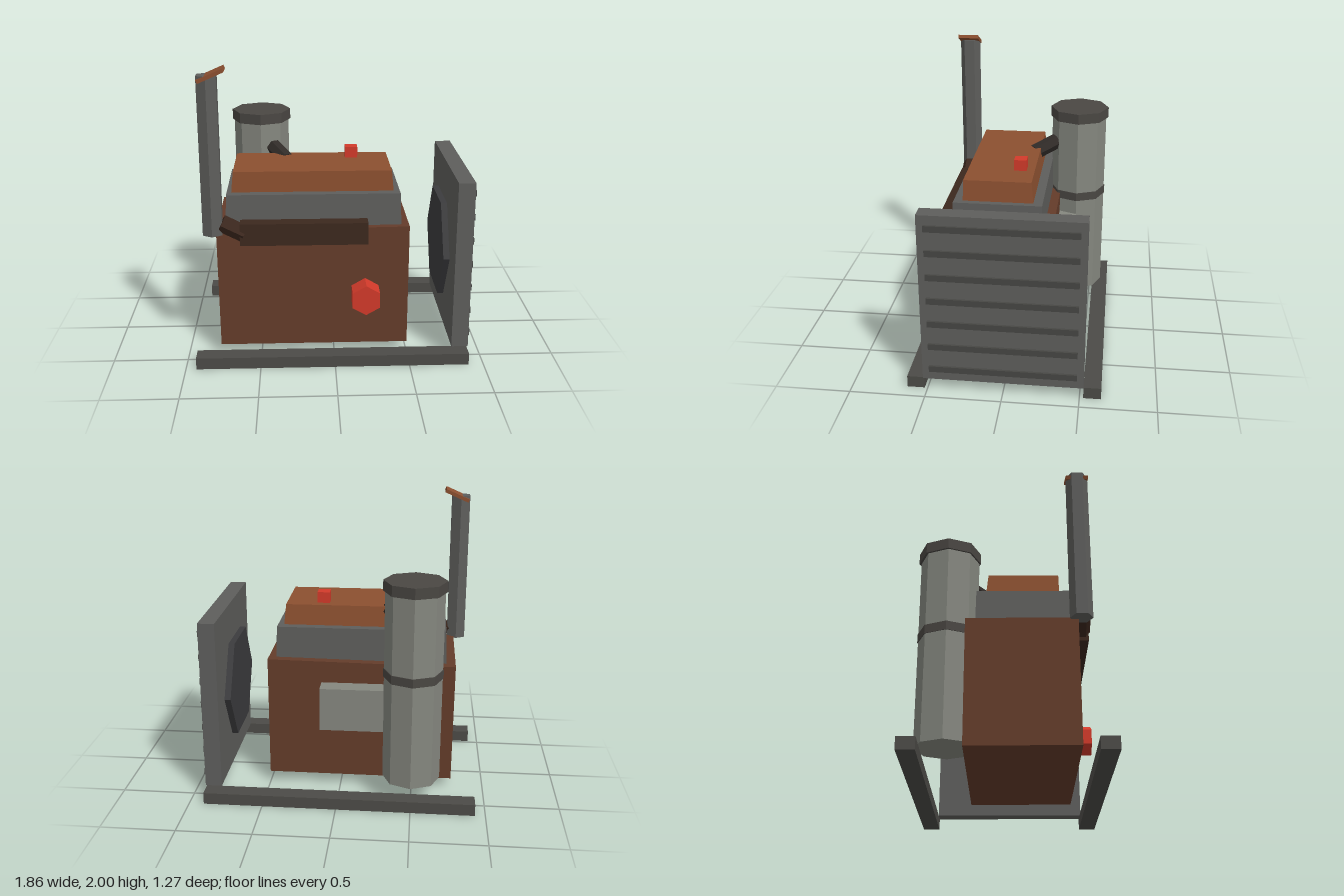
import * as THREE from 'three';

const paint = (color) => new THREE.MeshStandardMaterial({ color, flatShading: true });
const MAT = {
  rust: paint(0x643c2a), cover: paint(0x8c5030), steel: paint(0x5e5e5c), skid: paint(0x4c4b47),
  slat: paint(0x474744), fan: paint(0x3c3c3e), tank: paint(0x85877f), band: paint(0x4a4743),
  manifold: paint(0x3c281e), hose: paint(0x302b28), red: paint(0xd23a2a),
};

export function createModel() {
  const model = new THREE.Group();
  const add = (name, geometry, material) => {
    const mesh = new THREE.Mesh(geometry, material);
    mesh.name = name;
    model.add(mesh);
    return mesh;
  };

  // box given by its extents on each axis
  const box = (name, mat, [x0, x1], [y0, y1], [z0, z1]) => {
    const mesh = add(name, new THREE.BoxGeometry(x1 - x0, y1 - y0, z1 - z0), mat);
    mesh.position.set((x0 + x1) / 2, (y0 + y1) / 2, (z0 + z1) / 2);
    return mesh;
  };

  // hand-cut block: bottom and top rectangles [x0, x1, z0, z1], top sloping from yLeft to yRight
  const block = (name, mat, bottom, top, y0, yLeft, yRight = yLeft) => {
    const g = new THREE.BoxGeometry(1, 1, 1);
    const p = g.attributes.position;
    for (let i = 0; i < p.count; i++) {
      const up = p.getY(i) > 0, right = p.getX(i) > 0, front = p.getZ(i) > 0;
      const r = up ? top : bottom;
      p.setXYZ(i, r[right ? 1 : 0], up ? (right ? yRight : yLeft) : y0, r[front ? 3 : 2]);
    }
    g.computeVertexNormals();
    return add(name, g, mat);
  };

  // faceted rod between two points
  const rod = (name, mat, from, to, radius, sides) => {
    const a = new THREE.Vector3(...from), b = new THREE.Vector3(...to);
    const dir = b.clone().sub(a);
    const mesh = add(name, new THREE.CylinderGeometry(radius, radius, dir.length(), sides), mat);
    mesh.position.copy(a).add(b).multiplyScalar(0.5);
    mesh.quaternion.setFromUnitVectors(new THREE.Vector3(0, 1, 0), dir.normalize());
    return mesh;
  };

  // base rails
  box('frontRail', MAT.skid, [-0.93, 0.9], [0, 0.08], [0.52, 0.635]);
  box('backRail', MAT.skid, [-0.93, 0.9], [0, 0.08], [-0.64, -0.525]);

  // engine body in three steps
  block('engineBlock', MAT.rust, [-0.775, 0.5, -0.27, 0.435], [-0.78, 0.5, -0.27, 0.435], 0.078, 0.91, 0.925);
  block('cylinderHead', MAT.steel, [-0.72, 0.45, -0.21, 0.39], [-0.71, 0.44, -0.205, 0.385], 0.9, 1.14);
  block('valveCover', MAT.cover, [-0.68, 0.4, -0.145, 0.325], [-0.665, 0.385, -0.13, 0.322], 1.13, 1.28);
  box('fillerCap', MAT.red, [0.09, 0.175], [1.27, 1.355], [-0.075, 0.01]);

  // radiator with slats on its outer side and a fan on the inner side
  box('radiator', MAT.steel, [0.797, 0.91], [0.08, 1.25], [-0.525, 0.527]);
  for (let i = 0; i < 7; i++) {
    const y = 0.163 + i * 0.167;
    box('radiatorSlat', MAT.slat, [0.9, 0.925], [y - 0.021, y + 0.021], [-0.482, 0.482]);
  }
  const fan = add('fan', new THREE.CylinderGeometry(0.39, 0.39, 0.042, 6), MAT.fan);
  fan.rotation.z = Math.PI / 2;
  fan.position.set(0.762, 0.665, 0);

  // exhaust manifold, elbow, stack and tilted rain cap
  box('exhaustManifold', MAT.manifold, [-0.62, 0.22], [0.83, 0.98], [0.415, 0.508]);
  rod('exhaustElbow', MAT.manifold, [-0.74, 0.975, 0.46], [-0.595, 0.9, 0.46], 0.058, 6);
  rod('exhaustStack', MAT.steel, [-0.797, 0.9, 0.452], [-0.797, 1.95, 0.452], 0.073, 6);
  const cap = box('rainCap', MAT.cover, [-0.859, -0.681], [1.941, 1.965], [0.379, 0.525]);
  cap.rotation.z = 0.41;

  // air cleaner tank with cap, band and hose to the valve cover
  rod('airCleanerBody', MAT.tank, [-0.497, 0.15, -0.393], [-0.497, 1.48, -0.393], 0.195, 8);
  rod('airCleanerBand', MAT.band, [-0.497, 0.875, -0.393], [-0.497, 0.935, -0.393], 0.2, 8);
  rod('airCleanerCap', MAT.band, [-0.497, 1.467, -0.395], [-0.497, 1.54, -0.395], 0.208, 8);
  rod('airHose', MAT.hose, [-0.41, 1.3, -0.235], [-0.315, 1.24, -0.085], 0.055, 6);

  // side fittings
  box('intakeBox', MAT.tank, [-0.4, 0.13], [0.47, 0.77], [-0.395, -0.25]);
  rod('oilFilter', MAT.red, [0.207, 0.453, 0.4], [0.207, 0.453, 0.57], 0.105, 6);

  return model;
}
